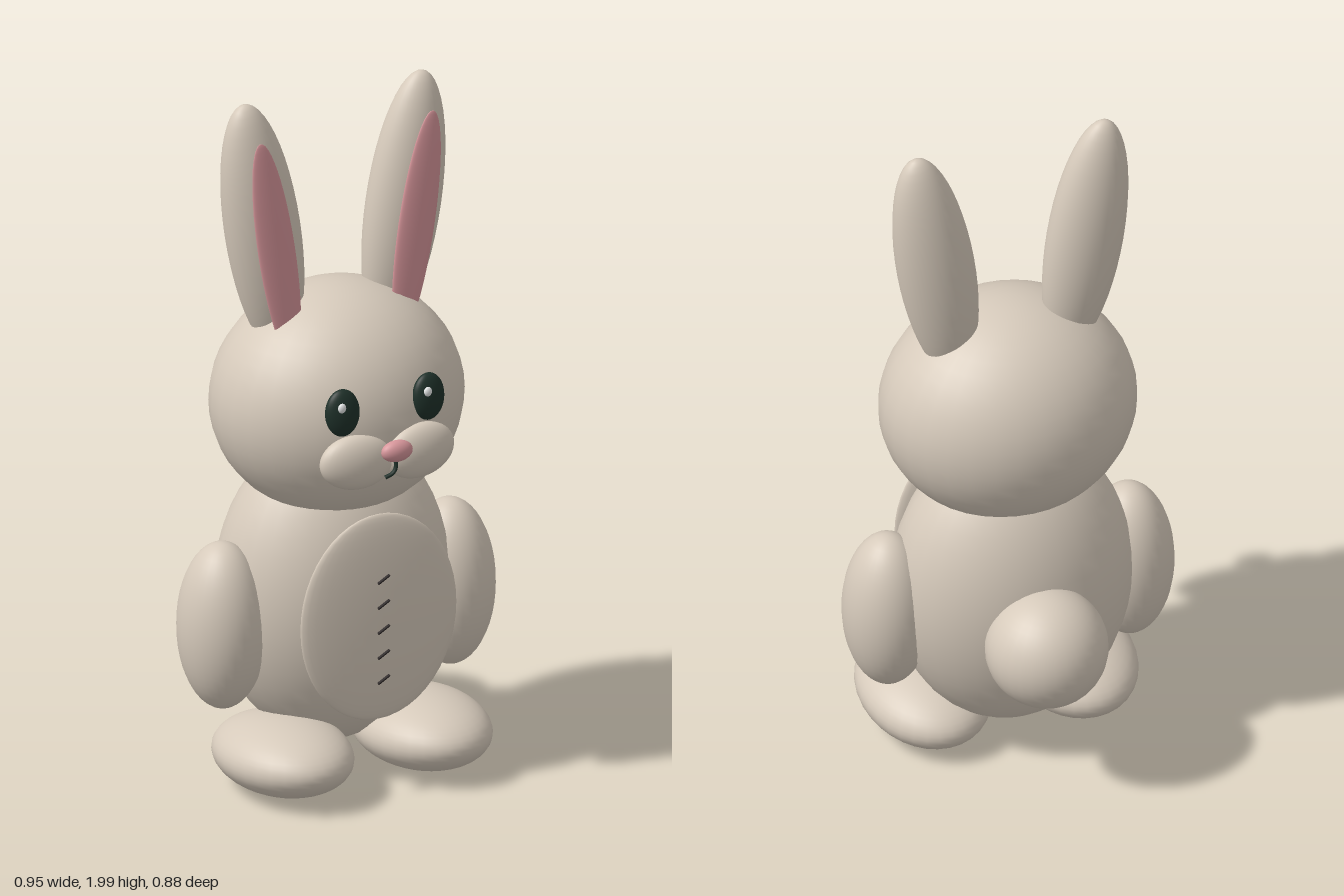
import * as THREE from 'three';

const material = (name, color) => {
  const m = new THREE.MeshStandardMaterial({ color });
  m.name = name;
  return m;
};

export function createModel() {
  const model = new THREE.Group();
  model.name = 'rabbit';

  const fur = material('fur', 0xd6cabb);
  const pink = material('pink', 0xd6959a);
  const eyeDark = material('eyeDark', 0x1e3029);
  const glint = material('glint', 0xe4e6e6);
  const thread = material('thread', 0x2c2626);

  const ball = new THREE.SphereGeometry(1, 32, 24);

  // Ellipsoid: centre, radii, rotation
  const blob = (name, mat, pos, radii, rot = [0, 0, 0]) => {
    const mesh = new THREE.Mesh(ball, mat);
    mesh.name = name;
    mesh.position.set(...pos);
    mesh.scale.set(...radii);
    mesh.rotation.set(...rot);
    model.add(mesh);
    return mesh;
  };

  // Head, body and tail
  blob('head', fur, [0, 1.1, 0.05], [0.36, 0.33, 0.315]);
  blob('body', fur, [0, 0.53, 0.02], [0.34, 0.45, 0.268]);
  blob('belly', fur, [0, 0.531, 0.3], [0.24, 0.303, 0.03]);
  blob('tail', fur, [0, 0.48, -0.27], [0.17, 0.17, 0.17]);

  // Mirrored parts
  for (const [side, s] of [['left', 1], ['right', -1]]) {
    blob(side + 'Ear', fur, [s * 0.217, 1.62, 0.028], [0.109, 0.381, 0.083], [0, 0, -s * 0.153]);
    blob(side + 'InnerEar', pink, [s * 0.215, 1.58, 0.11], [0.056, 0.332, 0.013], [0, 0, -s * 0.153]);
    blob(side + 'Arm', fur, [s * 0.35, 0.48, 0.047], [0.125, 0.243, 0.132]);
    blob(side + 'Foot', fur, [s * 0.213, 0.11, 0.143], [0.18, 0.104, 0.248], [-0.05, 0, 0]);
    blob(side + 'Muzzle', fur, [s * 0.097, 1.026, 0.356], [0.108, 0.079, 0.045], [0, s * 0.06, s * 0.08]);
    blob(side + 'Eye', eyeDark, [s * 0.132, 1.173, 0.341], [0.05, 0.068, 0.026], [-0.06, s * 0.1, 0]);
    blob(side + 'EyeGlint', glint, [s * 0.132 - 0.012, 1.196, 0.363], [0.012, 0.014, 0.008]);
  }

  // Nose and mouth
  blob('nose', pink, [0, 1.061, 0.411], [0.047, 0.031, 0.025]);
  const mouthPath = new THREE.CatmullRomCurve3([
    new THREE.Vector3(0, 1.04, 0.4),
    new THREE.Vector3(0, 1.01, 0.404),
    new THREE.Vector3(-0.01, 0.995, 0.405),
    new THREE.Vector3(-0.033, 0.985, 0.403),
  ]);
  const mouth = new THREE.Mesh(new THREE.TubeGeometry(mouthPath, 16, 0.006, 8), eyeDark);
  mouth.name = 'mouth';
  model.add(mouth);

  // Row of slanted stitches down the belly
  const stitchGeometry = new THREE.CylinderGeometry(0.004, 0.004, 0.04, 8);
  for (let i = 0; i < 5; i++) {
    const stitch = new THREE.Mesh(stitchGeometry, thread);
    stitch.name = 'stitch' + (i + 1);
    stitch.position.set(0, 0.652 - i * 0.074, 0.333);
    stitch.rotation.z = -1.05;
    model.add(stitch);
  }

  return model;
}
